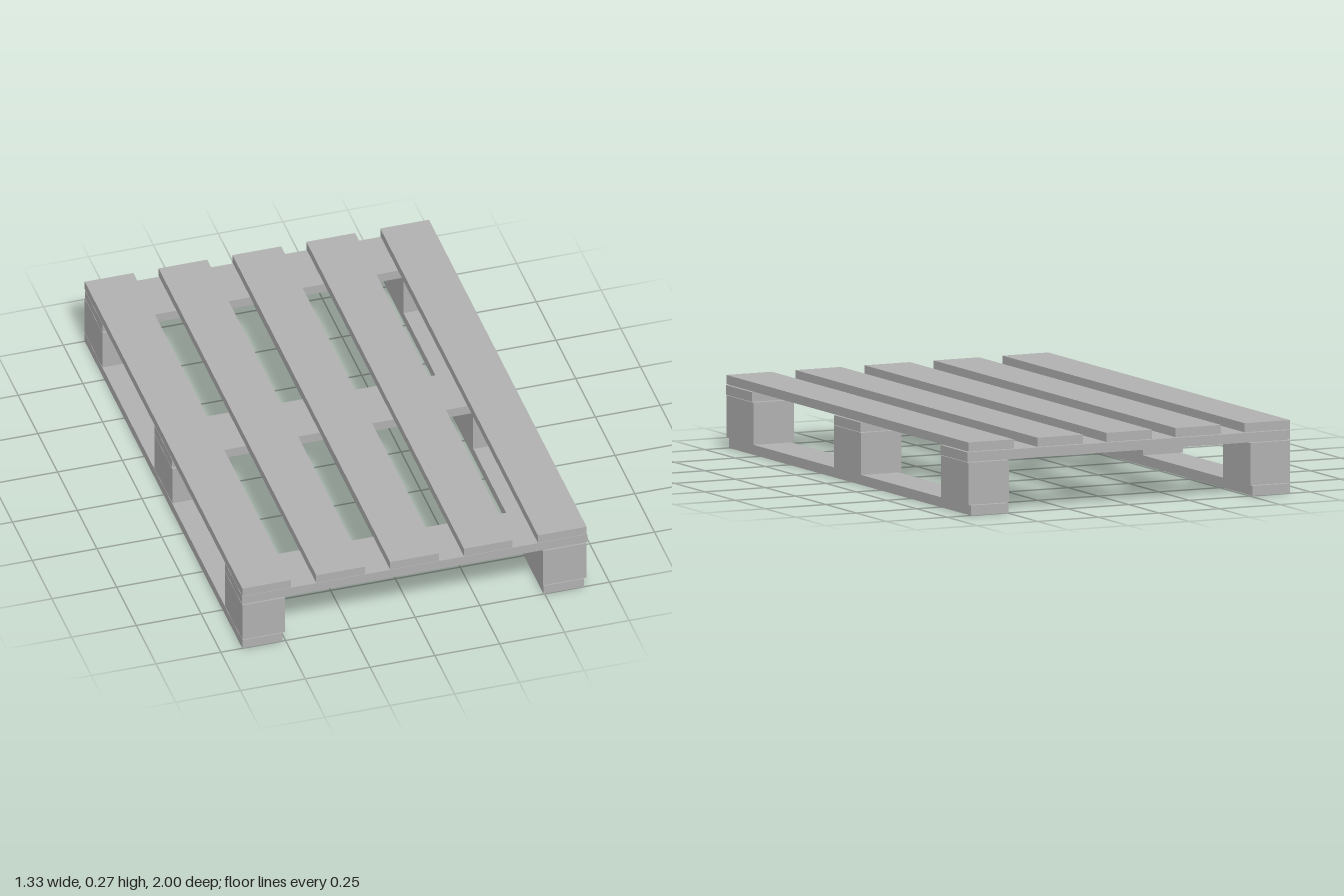
import * as THREE from 'three';

export function createModel() {
  const pallet = new THREE.Group();
  pallet.name = 'pallet';
  const wood = new THREE.MeshStandardMaterial({ color: 0xb0b0b0 });
  wood.name = 'plain grey wood';

  // Box given by its [min, max] extent on each axis
  const board = (name, [x0, x1], [y0, y1], [z0, z1]) => {
    const mesh = new THREE.Mesh(new THREE.BoxGeometry(x1 - x0, y1 - y0, z1 - z0), wood);
    mesh.name = name;
    mesh.position.set((x0 + x1) / 2, (y0 + y1) / 2, (z0 + z1) / 2);
    pallet.add(mesh);
  };

  const length = [-1, 1];

  // Five long deck boards on top
  for (let i = 0; i < 5; i++) {
    const x = -0.667 + i * 0.2852;
    board(`deckBoard${i + 1}`, [x, x + 0.188], [0.239, 0.273], length);
  }

  // Three cross boards, each resting on a pair of blocks
  const rows = [
    { name: 'back', cross: [-0.998, -0.777], block: [-1, -0.773] },
    { name: 'middle', cross: [-0.114, 0.105], block: [-0.113, 0.112] },
    { name: 'front', cross: [0.782, 0.998], block: [0.777, 1] },
  ];
  for (const { name, cross, block } of rows) {
    board(`${name}CrossBoard`, [-0.667, 0.665], [0.2, 0.236], cross);
    board(`${name}RightBlock`, [-0.667, -0.502], [0.04, 0.197], block);
    board(`${name}LeftBlock`, [0.494, 0.661], [0.04, 0.197], block);
  }

  // Two runners on the ground
  board('rightRunner', [-0.667, -0.512], [0, 0.037], length);
  board('leftRunner', [0.496, 0.651], [0, 0.037], length);

  return pallet;
}
